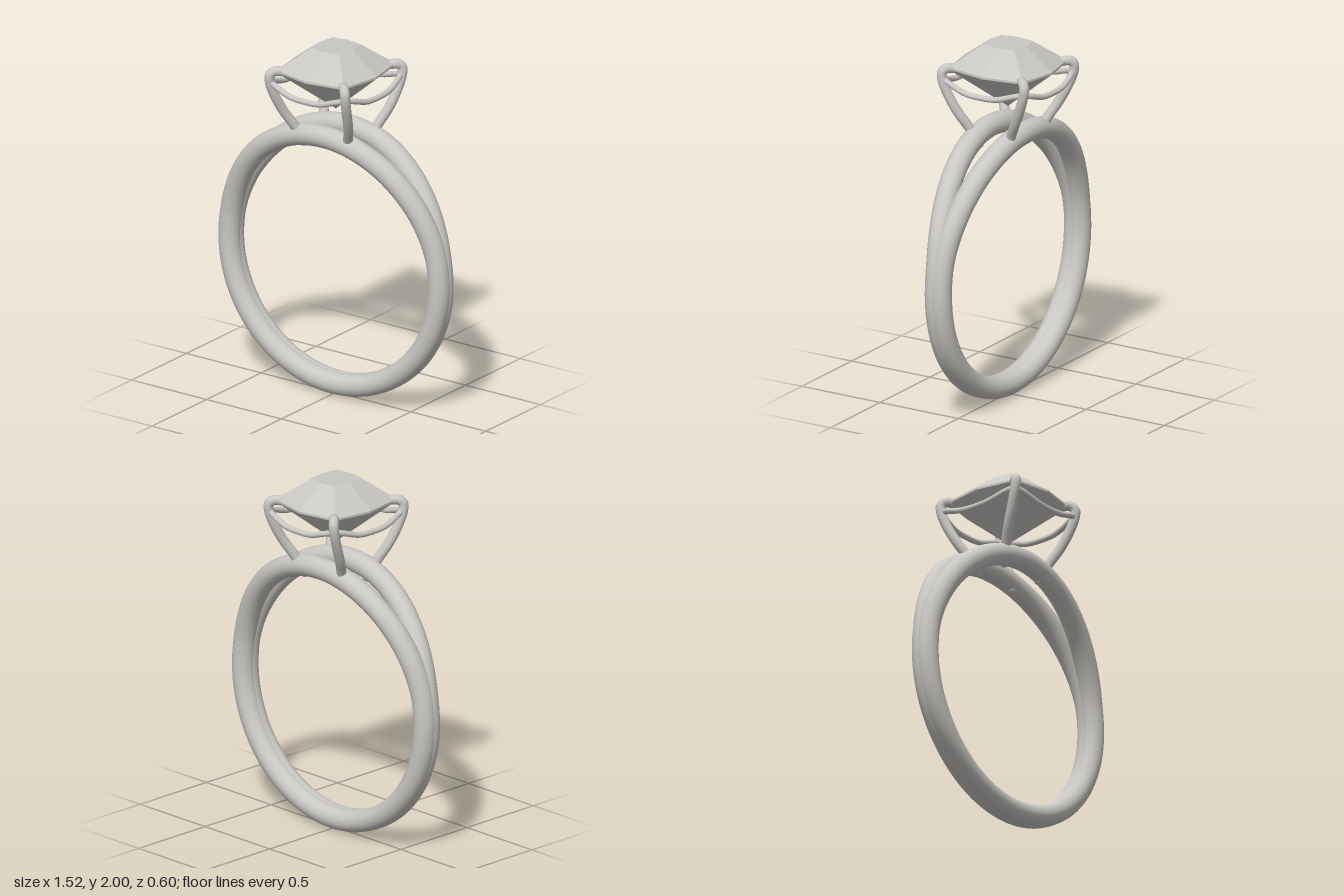
import * as THREE from 'three';

const metal = new THREE.MeshStandardMaterial({ color: 0xc9c7c3 });
metal.name = 'pale grey';

const V = (x, y, z) => new THREE.Vector3(x, y, z);

function addMesh(parent, name, geometry) {
  const mesh = new THREE.Mesh(geometry, metal);
  mesh.name = name;
  parent.add(mesh);
  return mesh;
}

// Round wire through points, with rounded ends
function addWire(parent, name, points, radius) {
  const wire = new THREE.Group();
  wire.name = name;
  const curve = new THREE.CatmullRomCurve3(points);
  addMesh(wire, name + 'Rod', new THREE.TubeGeometry(curve, 40, radius, 16));
  for (const end of [points[0], points[points.length - 1]]) {
    addMesh(wire, name + 'End', new THREE.SphereGeometry(radius, 16, 12)).position.copy(end);
  }
  parent.add(wire);
}

// One strand of the band, leaning outward near the top
function strandGeometry(side) {
  const points = [];
  for (let i = 0; i < 64; i++) {
    const a = (i / 64) * Math.PI * 2;
    const s = Math.sin(a);
    const y = 0.765 + s * (s > 0 ? 0.745 : 0.703);
    const t = Math.max(0, (y - 0.88) / 0.63);
    points.push(V(0.7 * Math.cos(a), y, side * (0.015 + 0.095 * Math.pow(t, 1.5))));
  }
  return new THREE.TubeGeometry(new THREE.CatmullRomCurve3(points, true), 160, 0.061, 24, true);
}

// Eight-sided cut stone: table, crown, thin girdle and pavilion
function stoneGeometry() {
  const ring = (mx, mz, cx, cz, y) => [
    V(0, y, mz), V(cx, y, cz), V(mx, y, 0), V(cx, y, -cz),
    V(0, y, -mz), V(-cx, y, -cz), V(-mx, y, 0), V(-cx, y, cz),
  ];
  const table = ring(0.11, 0.116, 0.093, 0.1, 2);
  const upper = ring(0.268, 0.28, 0.225, 0.235, 1.88);
  const lower = ring(0.268, 0.28, 0.225, 0.235, 1.868);
  const top = V(0, 2, 0), culet = V(0, 1.64, 0);
  const tris = [];
  for (let i = 0; i < 8; i++) {
    const j = (i + 1) % 8;
    tris.push(top, table[i], table[j]);
    for (const [lo, hi] of [[upper, table], [lower, upper]]) {
      tris.push(lo[i], lo[j], hi[j], lo[i], hi[j], hi[i]);
    }
    tris.push(culet, lower[j], lower[i]);
  }
  const geometry = new THREE.BufferGeometry().setFromPoints(tris);
  geometry.computeVertexNormals();
  return geometry;
}

export function createModel() {
  const model = new THREE.Group();
  model.name = 'ring';

  // Split band
  const band = new THREE.Group();
  band.name = 'band';
  for (const side of [1, -1]) addMesh(band, side > 0 ? 'frontStrand' : 'backStrand', strandGeometry(side));
  model.add(band);

  // Four claws, passing through the band and hooking over the stone
  const setting = new THREE.Group();
  setting.name = 'setting';
  for (const sx of [1, -1]) {
    for (const sz of [1, -1]) {
      const path = [
        [0.145, 1.45, 0.095], [0.182, 1.55, 0.138], [0.215, 1.63, 0.182], [0.238, 1.72, 0.226],
        [0.252, 1.81, 0.258], [0.25, 1.858, 0.262], [0.232, 1.877, 0.243], [0.206, 1.875, 0.218],
      ];
      addWire(setting, 'claw', path.map(([x, y, z]) => V(sx * x, y, sz * z)), 0.027);
    }
  }

  // Dipping gallery wires between the claws
  const dip = [[-0.25, 1.815], [-0.2, 1.802], [-0.1, 1.772], [0, 1.765], [0.1, 1.772], [0.2, 1.802], [0.25, 1.815]];
  const bulge = [0.255, 0.272, 0.285, 0.286, 0.285, 0.272, 0.255];
  for (const s of [1, -1]) {
    addWire(setting, 'galleryWire', dip.map(([u, y], i) => V(u, y, s * bulge[i])), 0.016);
    addWire(setting, 'sideGalleryWire', dip.map(([u, y], i) => V(s * (bulge[i] - 0.007), y, u)), 0.016);
  }
  model.add(setting);

  // Stone
  addMesh(model, 'stone', stoneGeometry());
  return model;
}
